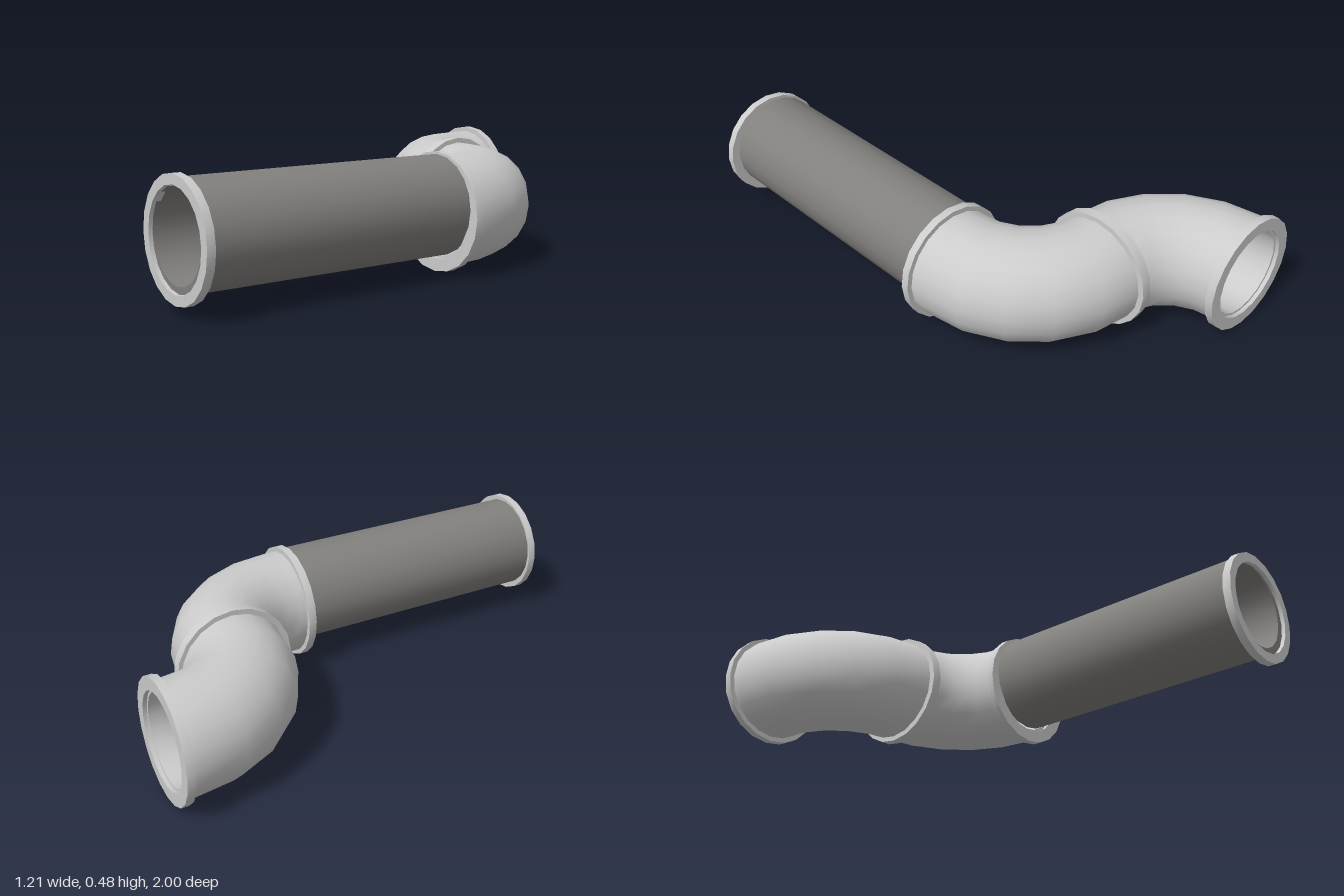
import * as THREE from 'three';
import { toCreasedNormals } from 'three/addons/utils/BufferGeometryUtils.js';

const SIDES = 20;
const CREASE = 0.75;
const AXIS_Y = 0.238;
const grey = new THREE.MeshStandardMaterial({ color: 0xcccccc });
const dark = new THREE.MeshStandardMaterial({ color: 0x82807d });

// Hollow straight tube along +z, starting at z = 0
function ringTube(name, rOut, rIn, length, material) {
  const profile = [[rIn, 0], [rOut, 0], [rOut, length], [rIn, length], [rIn, 0]]
    .map(([x, y]) => new THREE.Vector2(x, y));
  const geo = new THREE.LatheGeometry(profile, SIDES).rotateX(Math.PI / 2);
  const mesh = new THREE.Mesh(toCreasedNormals(geo, CREASE), material);
  mesh.name = name;
  return mesh;
}

// Hollow quarter bend: outer rings forward, inner rings back, closed at both ends
function elbowGeometry(bend, rOut, rIn, centreZ, endZ, steps) {
  const stations = [];
  for (let i = 0; i <= steps; i++) {
    const a = (i / steps) * Math.PI / 2;
    stations.push({ a, x: bend * Math.sin(a), z: centreZ - bend * Math.cos(a) });
  }
  stations.push({ a: Math.PI / 2, x: bend, z: endZ }); // short straight mouth
  const rings = [
    ...stations.map((s) => ({ ...s, r: rOut })),
    ...stations.map((s) => ({ ...s, r: rIn })).reverse(),
  ];
  const positions = [];
  const index = [];
  rings.forEach(({ a, x, z, r }, i) => {
    const next = (i + 1) % rings.length;
    for (let j = 0; j < SIDES; j++) {
      const t = (j / SIDES) * Math.PI * 2;
      const out = r * Math.cos(t);
      positions.push(x + Math.sin(a) * out, AXIS_Y + r * Math.sin(t), z - Math.cos(a) * out);
      const k = (j + 1) % SIDES;
      const p = i * SIDES, q = next * SIDES;
      index.push(p + j, p + k, q + j, p + k, q + k, q + j);
    }
  });
  const geo = new THREE.BufferGeometry();
  geo.setAttribute('position', new THREE.Float32BufferAttribute(positions, 3));
  geo.setIndex(index);
  return toCreasedNormals(geo, CREASE);
}

export function createModel() {
  const model = new THREE.Group();
  model.name = 'pipeAssembly';

  // Two matching elbows, each with a flange at its mouth, forming an S-bend
  const elbowGeo = elbowGeometry(0.37, 0.216, 0.175, -0.2, -0.155, 5);
  ['frontElbow', 'backElbow'].forEach((name, i) => {
    const group = new THREE.Group();
    group.name = name;
    const bend = new THREE.Mesh(elbowGeo, grey);
    bend.name = name + 'Bend';
    const flange = ringTube(name + 'Flange', 0.236, 0.185, 0.032, grey);
    flange.position.set(0.37, AXIS_Y, -0.171);
    group.add(bend, flange);
    if (i === 1) {
      group.rotation.y = Math.PI;
      group.position.z = -1.14;
    }
    model.add(group);
  });

  // Collar where the elbows meet
  const collar = ringTube('middleCollar', 0.236, 0.19, 0.04, grey);
  collar.rotation.y = Math.PI / 2;
  collar.position.set(-0.02, AXIS_Y, -0.57);
  model.add(collar);

  // Straight pipe and its front flange
  const pipe = ringTube('straightPipe', 0.198, 0.169, 1.135, dark);
  pipe.position.set(0.37, 0.266, -0.15);
  const frontFlange = ringTube('frontFlange', 0.222, 0.184, 0.032, grey);
  frontFlange.position.set(0.382, 0.257, 0.968);
  model.add(pipe, frontFlange);

  return model;
}
